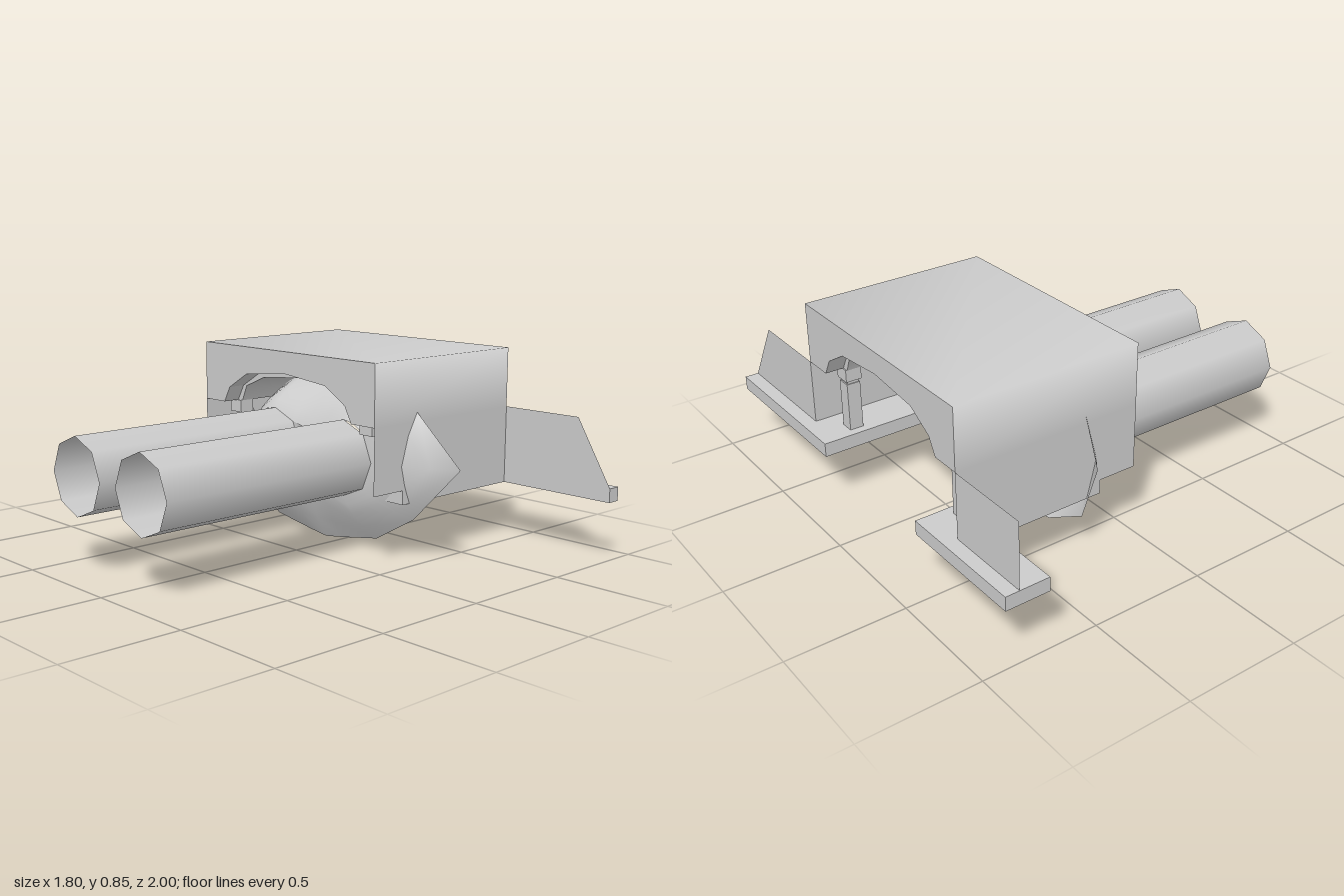
import * as THREE from 'three';

const MID = -0.087; // z of the tunnel's centre line
const mat = new THREE.MeshStandardMaterial({ color: 0xcccccc, side: THREE.DoubleSide });
const matFlat = new THREE.MeshStandardMaterial({ color: 0xcccccc, side: THREE.DoubleSide, flatShading: true });

// Surface through rows of [x, y, z] points
function sheet(name, rows, flat = true) {
  const n = rows[0].length, index = [];
  for (let i = 0; i < rows.length - 1; i++) {
    for (let j = 0; j < n - 1; j++) {
      const a = i * n + j, b = a + n;
      index.push(a, b, a + 1, a + 1, b, b + 1);
    }
  }
  const g = new THREE.BufferGeometry();
  g.setAttribute('position', new THREE.Float32BufferAttribute(rows.flat(2), 3));
  g.setIndex(index);
  g.computeVertexNormals();
  const m = new THREE.Mesh(g, flat ? matFlat : mat);
  m.name = name;
  return m;
}

// Box given by its limits on each axis
function box(name, x0, x1, y0, y1, z0, z1) {
  const m = new THREE.Mesh(new THREE.BoxGeometry(x1 - x0, y1 - y0, z1 - z0), matFlat);
  m.position.set((x0 + x1) / 2, (y0 + y1) / 2, (z0 + z1) / 2);
  m.name = name;
  return m;
}

// Half profile [offset, height, ...], ending on the centre line, mirrored to the other side
const mirror = (half) => [...half, ...half.slice(0, -1).reverse().map(([d, ...r]) => [-d, ...r])];
const at = (x, profile) => profile.map(([d, y]) => [x, y, MID + d]);

// Blend between two profiles of [offset, height]
const blend = (a, b, t) => a.map(([d, y], i) => [d + (b[i][0] - d) * t, y + (b[i][1] - y) * t]);

export function createModel() {
  const group = new THREE.Group();
  const add = (...m) => group.add(...m);
  const R = 0.165, PY = 0.405, PD = 0.218;

  // Twin open eight-sided pipes
  for (const s of [1, -1]) {
    const g = new THREE.CylinderGeometry(R, R, 1.05, 8, 1, true);
    g.rotateZ(Math.PI / 2);
    const pipe = new THREE.Mesh(g, mat);
    pipe.position.set(-0.375, PY, MID + s * PD);
    pipe.name = 'pipe';
    add(pipe);
  }

  // Housing: rounded-shaded roof and plain lower walls
  const zL = 0.45, zR = -0.62, xB = 0.01, xF = 0.84;
  const roof = [[0.59, zL], [0.85, zL], [0.85, zR], [0.59, zR]];
  add(sheet('roof', [xF, xB].map((x) => roof.map(([y, z]) => [x, y, z])), false));
  for (const z of [zL, zR]) {
    add(sheet('sideWall', [[[xB, 0.31, z], [xF, 0.31, z]], [[xB, 0.59, z], [xF, 0.59, z]]]));
  }

  // Arched ends: pierced wall, reveal, stepped band and capitals
  const outer = mirror([[0.405, 0.59], [0.367, 0.66], [0.25, 0.73], [0, 0.755]]);
  const inner = mirror([[0.375, 0.59], [0.345, 0.66], [0.225, 0.71], [0, 0.73]]);
  for (const [x, step] of [[xF, 0.76], [xB, 0.09]]) {
    const s = new THREE.Shape();
    s.moveTo(-zL, 0.59);
    s.lineTo(-zL, 0.85);
    s.lineTo(-zR, 0.85);
    s.lineTo(-zR, 0.59);
    [...outer].reverse().forEach(([d, y]) => s.lineTo(-(MID + d), y));
    const end = new THREE.Mesh(new THREE.ShapeGeometry(s), matFlat);
    end.rotation.y = Math.PI / 2;
    end.position.x = x;
    end.name = 'archWall';
    add(end);
    add(sheet('archReveal', [at(x, outer), at(step, outer)]));
    add(sheet('archBand', [at(step, outer), at(step, inner)]));
  }
  add(sheet('vault', [at(0.76, inner), at(0.09, inner)], false));

  for (const s of [1, -1]) {
    const z = MID + s * 0.415;
    for (const x of [0.73, 0.12]) {
      add(box('capital', x - 0.035, x + 0.035, 0.535, 0.59, z - 0.036, z + 0.036));
    }
    add(box('columnNeck', 0.705, 0.755, 0.52, 0.535, z - 0.026, z + 0.026));
    add(box('column', 0.7, 0.76, 0.31, 0.52, z - 0.03, z + 0.03));
  }

  // Point on a pipe rim by angle in degrees, measured from the outer side
  const rim = (deg) => {
    const a = deg * Math.PI / 180;
    return [PD + R * Math.cos(a), PY + R * Math.sin(a)];
  };

  // Bowl flaring out from the pipe rims, sides and below
  const low = mirror([rim(45), rim(0), rim(-45), rim(-90), rim(-135), [0, 0.31]]);
  const bowl = mirror([[0.535, 0.63], [0.775, 0.42], [0.525, 0.17], [0.315, 0.05], [0.1, 0.014], [0, 0]]);
  bowl[bowl.length - 2] = [-0.613, 0.42];
  add(sheet('bowl', [0, 0.2, 0.4, 0.7, 1].map((t) => at(0.15 + 0.11 * t ** 1.75, blend(low, bowl, t))), false));

  // Hood curving from the pipe tops up to the vault
  const high = mirror([rim(0), rim(45), rim(68), rim(90), rim(135), [0, 0.5]]);
  const hood = mirror([[0.375, 0.59], [0.345, 0.66], [0.285, 0.685], [0.225, 0.71], [0.11, 0.72], [0, 0.73]]);
  add(sheet('hood', [0, 0.25, 0.5, 0.75, 1].map((t) => at(0.15 + 0.2 * t ** 1.5, blend(high, hood, t))), false));

  // Saddle filling the gap between the pipes
  const cheek = [rim(135), rim(180), rim(-135)];
  add(sheet('saddle', cheek.map(([d, y], i) => [
    [0.15, y, MID + d], [i === 1 ? 0.19 : 0.15, [0.5, PY, 0.31][i], MID], [0.15, y, MID - d],
  ]), false));

  // Ground plates under the walls and wings
  add(box('sidePlate', 0.18, 0.84, 0.25, 0.31, 0.26, 0.45));
  add(box('wingPlate', 0.84, 0.9, 0.25, 0.31, 0.26, 1));
  add(box('sidePlate', 0.18, 0.9, 0.25, 0.31, -0.62, -0.43));
  add(box('wingPlate', 0.71, 0.9, 0.25, 0.31, -1, -0.62));

  // Wing walls: one with a sloping end, one square
  for (const [z, zTop, zEnd] of [[zL, 0.83, 1], [zR, -1, -1]]) {
    add(sheet('wingWall', [[[xF, 0.31, z], [xF, 0.31, zEnd]], [[xF, 0.59, z], [xF, 0.59, zTop]]]));
  }
  return group;
}
